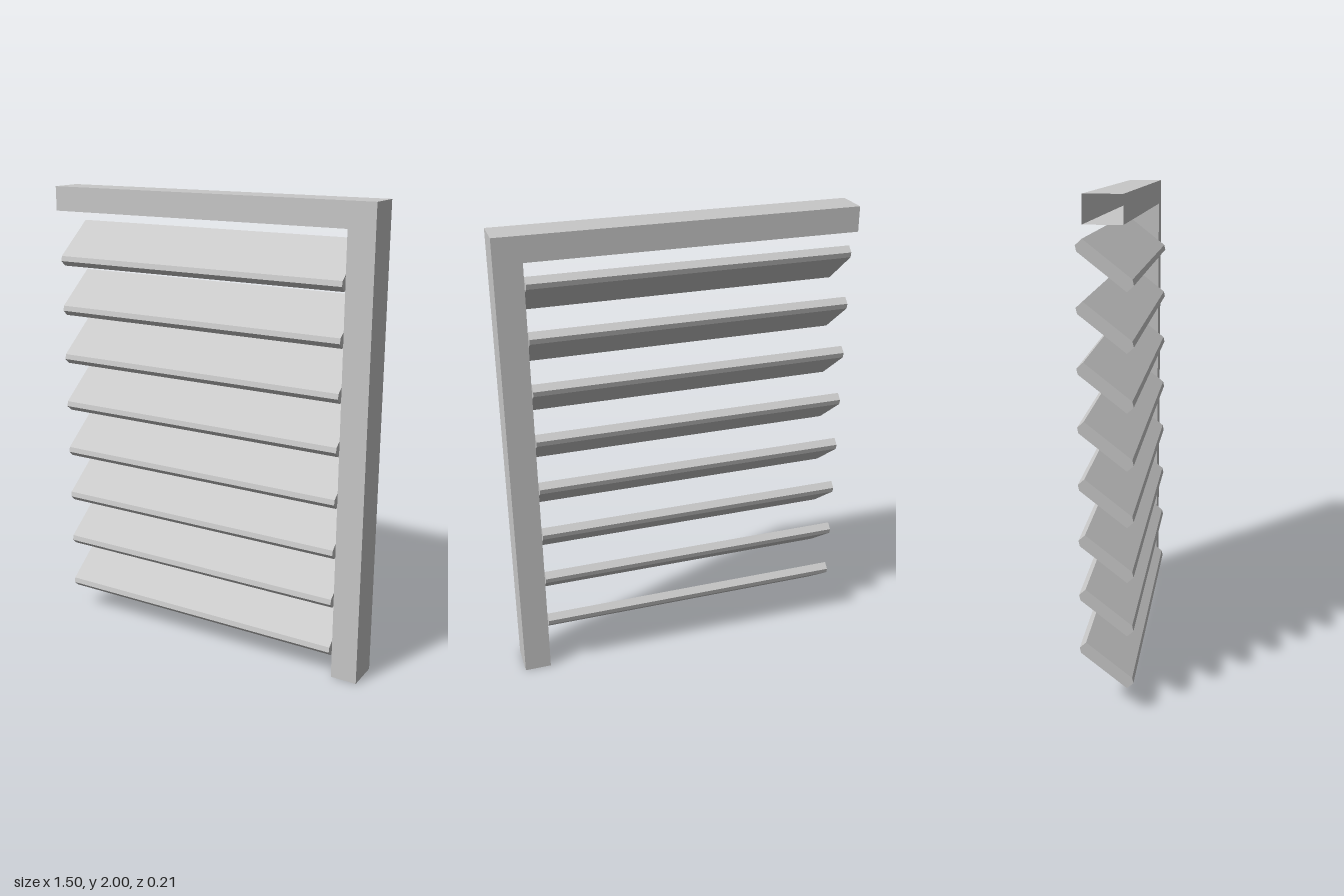
import * as THREE from 'three';

const extrude = (points, depth) => new THREE.ExtrudeGeometry(
  new THREE.Shape(points.map(([x, y]) => new THREE.Vector2(x, y))),
  { depth, bevelEnabled: false });

// Drop the triangles lying on the plane x = value, leaving an open end
function openEnd(geometry, value) {
  const p = geometry.attributes.position;
  const keep = [];
  for (let i = 0; i < p.count; i += 3) {
    const onPlane = [0, 1, 2].every((k) => Math.abs(p.getX(i + k) - value) < 1e-4);
    if (!onPlane) keep.push(i, i + 1, i + 2);
  }
  geometry.clearGroups();
  geometry.setIndex(keep);
  return geometry;
}

export function createModel() {
  const group = new THREE.Group();
  const grey = new THREE.MeshStandardMaterial({ color: 0xc8c8c8, side: THREE.DoubleSide });
  grey.name = 'light grey';

  // L-shaped frame: side post and top rail, hollow at the free end of the rail
  const halfDepth = 0.073;
  const frameGeometry = extrude([
    [-0.75, 1.895], [0.635, 1.895], [0.635, 0], [0.75, 0], [0.75, 2], [-0.75, 2],
  ], halfDepth * 2).translate(0, 0, -halfDepth);
  const frame = new THREE.Mesh(openEnd(frameGeometry, -0.75), grey);
  frame.name = 'frame';
  group.add(frame);

  // Tilted louvre slats, low at the front, with chamfered edges
  const half = [[-0.1, -0.048], [-0.105, -0.07], [-0.08, -0.093]];
  const profile = [...half, ...half.map(([x, y]) => [-x, -y])];
  const slatGeometry = extrude(profile, 1.345).rotateY(Math.PI / 2);
  const slats = new THREE.Group();
  slats.name = 'slats';
  for (let i = 0; i < 8; i++) {
    const slat = new THREE.Mesh(slatGeometry, grey);
    slat.name = 'slat' + (i + 1);
    slat.position.set(-0.71, 0.2 + i * 0.2215, 0);
    slats.add(slat);
  }
  group.add(slats);
  return group;
}
